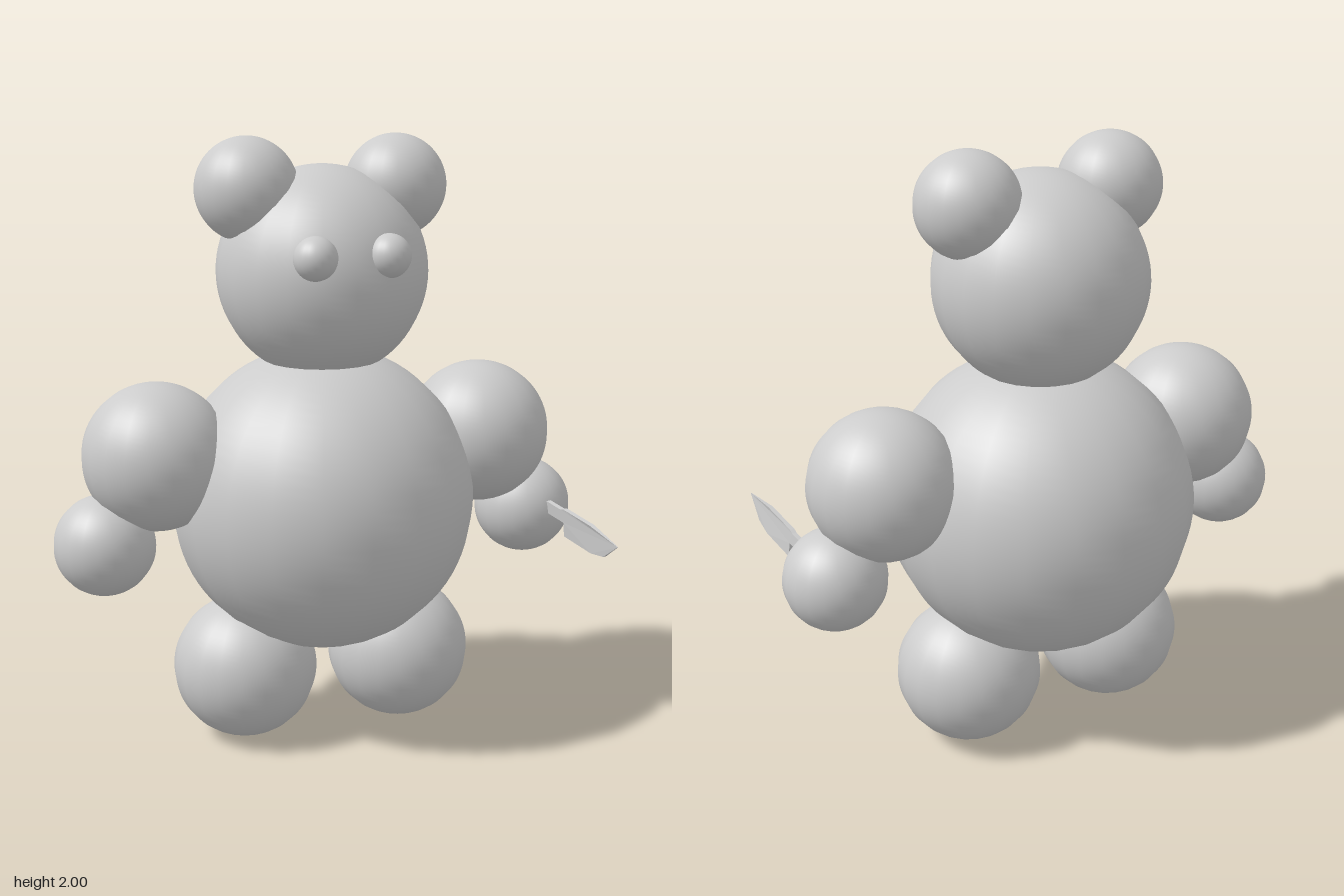
import * as THREE from 'three';

const material = new THREE.MeshStandardMaterial({ color: 0xcccccc });
const MID_X = -0.04, MID_Z = -0.065;

export function createModel() {
  const group = new THREE.Group();
  group.name = 'bear';

  const ball = (name, radius, dx, y, z = MID_Z) => {
    const mesh = new THREE.Mesh(new THREE.SphereGeometry(radius, 20, 40), material);
    mesh.name = name;
    mesh.position.set(MID_X + dx, y, z);
    group.add(mesh);
  };

  // Body and head
  ball('body', 0.507, 0, 0.81);
  ball('head', 0.344, 0, 1.565);

  // Mirrored pairs
  for (const [side, s] of [['left', 1], ['right', -1]]) {
    ball(side + 'Ear', 0.166, s * 0.25, 1.835);
    ball(side + 'Eye', 0.069, s * 0.119, 1.648, 0.235);
    ball(side + 'Arm', 0.241, s * 0.561, 0.993);
    ball(side + 'Hand', 0.165, s * 0.738, 0.713);
    ball(side + 'Foot', 0.241, s * 0.275, 0.241);
  }

  // Knife: side outline as (z, y), centred on the blade's mid-height
  const outline = [
    [-0.06, 0.002], [0.21, 0.002], [0.21, -0.047], [0.4, -0.047], [0.48, -0.034],
    [0.573, 0.028], [0.4, 0.05], [0.21, 0.05], [0.19, 0.044], [-0.06, 0.044],
  ].map(([z, y]) => new THREE.Vector2(z, y));
  const blade = new THREE.ExtrudeGeometry(new THREE.Shape(outline), { depth: 0.016, bevelEnabled: false });
  blade.translate(0, 0, -0.008);
  blade.rotateY(-Math.PI / 2);
  // Thin the blade towards its tip
  const p = blade.attributes.position;
  for (let i = 0; i < p.count; i++) {
    const t = THREE.MathUtils.clamp((p.getZ(i) - 0.4) / 0.173, 0, 1);
    p.setX(i, p.getX(i) * (1 - 0.85 * t));
  }
  blade.computeVertexNormals();
  const knife = new THREE.Mesh(blade, material);
  knife.name = 'knife';
  knife.position.set(0.73, 0.718, 0);
  knife.rotation.z = 0.1;
  group.add(knife);

  return group;
}
